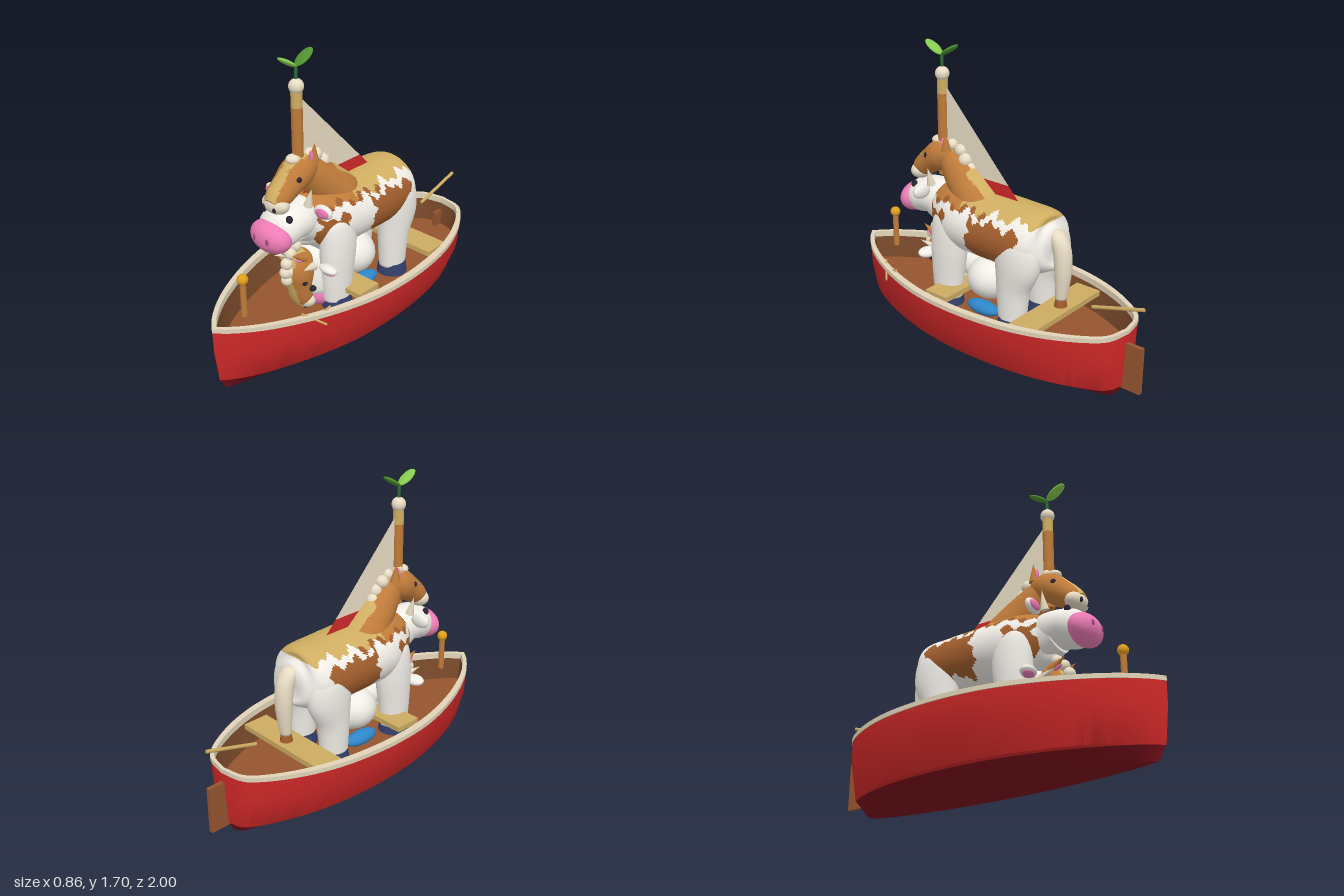
import * as THREE from 'three';
import { toCreasedNormals } from 'three/addons/utils/BufferGeometryUtils.js';

const C = { red: 0xd02828, darkRed: 0x7a101b, rail: 0xe0d3b8, wood: 0x95542f, darkWood: 0x7a4a2a, plank: 0xcbab62,
  brown: 0xbf7b3a, patch: 0xa05d2c, tan: 0xd0ae62, white: 0xf0ede6, cream: 0xe8dcc4, pink: 0xee7cb6,
  dark: 0x2a2433, navy: 0x34406b, blue: 0x2f86c9, gold: 0xe0a01c, green: 0x2f6b3a, leaf: 0x4f8f30, lightLeaf: 0x86cc50 };

function add(parent, name, geo, color, x = 0, y = 0, z = 0, double = false) {
  const mat = new THREE.MeshStandardMaterial({ color });
  if (double) mat.side = THREE.DoubleSide;
  const m = new THREE.Mesh(geo, mat);
  m.name = name;
  m.position.set(x, y, z);
  parent.add(m);
  return m;
}

function ball(parent, name, color, x, y, z, rx, ry = rx, rz = rx) {
  const m = add(parent, name, new THREE.SphereGeometry(1, 24, 16), color, x, y, z);
  m.scale.set(rx, ry, rz);
  return m;
}

// Skin over a stack of closed rings
function loft(rings, capStart, capEnd) {
  const n = rings[0].length, pos = [], idx = [];
  for (const r of rings) for (const p of r) pos.push(p.x, p.y, p.z);
  for (let i = 0; i < rings.length - 1; i++)
    for (let j = 0; j < n; j++) {
      const k = (j + 1) % n, a = i * n + j, b = i * n + k, c = b + n, d = a + n;
      idx.push(a, b, c, a, c, d);
    }
  const cap = (i, flip) => {
    const o = rings[i].reduce((s, p) => s.add(p), new THREE.Vector3()).divideScalar(n);
    const c = pos.length / 3;
    pos.push(o.x, o.y, o.z);
    for (let j = 0; j < n; j++) {
      const a = i * n + j, b = i * n + (j + 1) % n;
      flip ? idx.push(c, b, a) : idx.push(c, a, b);
    }
  };
  if (capStart) cap(0, true);
  if (capEnd) cap(rings.length - 1, false);
  const g = new THREE.BufferGeometry();
  g.setAttribute('position', new THREE.Float32BufferAttribute(pos, 3));
  g.setIndex(idx);
  g.computeVertexNormals();
  return g;
}

// Smooth limb along sections [z, y, half width, half depth]
function sweep(sections, steps = 8, sides = 32) {
  const last = sections.length - 1, list = [], S = i => sections[Math.min(last, Math.max(0, i))];
  for (let q = 0; q <= last * steps; q++) {
    const i = Math.min(last - 1, Math.floor(q / steps)), t = q / steps - i;
    list.push([0, 1, 2, 3].map(k => {
      const a = S(i - 1)[k], b = S(i)[k], c = S(i + 1)[k], d = S(i + 2)[k];
      return b + 0.5 * t * (c - a + t * (2 * a - 5 * b + 4 * c - d + t * (3 * (b - c) + d - a)));
    }));
  }
  const rings = list.map(([z, y, rx, ry], i) => {
    const p = list[Math.max(0, i - 1)], q = list[Math.min(list.length - 1, i + 1)];
    const len = Math.hypot(q[0] - p[0], q[1] - p[1]) || 1, tz = (q[0] - p[0]) / len, ty = (q[1] - p[1]) / len;
    return Array.from({ length: sides }, (_, j) => {
      const a = j / sides * Math.PI * 2, u = Math.cos(a) * Math.max(rx, 0.002), v = Math.sin(a) * Math.max(ry, 0.002);
      return new THREE.Vector3(u, y + v * tz, z - v * ty);
    });
  });
  return loft(rings, true, true);
}

// Split a skin into one mesh per coat colour chosen by rule(x, y, z)
function coat(parent, name, geo, rule) {
  const g = geo.toNonIndexed(), P = g.attributes.position.array, N = g.attributes.normal.array, parts = new Map();
  for (let f = 0; f < P.length; f += 9) {
    const mid = k => (P[f + k] + P[f + 3 + k] + P[f + 6 + k]) / 3;
    const c = rule(mid(0), mid(1), mid(2));
    if (!parts.has(c)) parts.set(c, { p: [], n: [] });
    for (let k = 0; k < 9; k++) { parts.get(c).p.push(P[f + k]); parts.get(c).n.push(N[f + k]); }
  }
  for (const [c, { p, n }] of parts) {
    const s = new THREE.BufferGeometry();
    s.setAttribute('position', new THREE.Float32BufferAttribute(p, 3));
    s.setAttribute('normal', new THREE.Float32BufferAttribute(n, 3));
    add(parent, name, s, c);
  }
}
const jag = t => 0.014 * Math.sin(t * 38) + 0.01 * Math.sin(t * 91 + 1);

function rod(parent, name, color, a, b, r) {
  const A = new THREE.Vector3(...a), B = new THREE.Vector3(...b);
  const m = add(parent, name, new THREE.CylinderGeometry(r, r, A.distanceTo(B), 16), color);
  m.position.copy(A).add(B).multiplyScalar(0.5);
  m.quaternion.setFromUnitVectors(new THREE.Vector3(0, 1, 0), B.sub(A).normalize());
}

function buildBoat(boat) {
  const half = [[0, 1], [.07, .94], [.175, .81], [.285, .61], [.365, .4], [.413, .2], [.43, -.02], [.422, -.2],
    [.387, -.42], [.318, -.62], [.215, -.8], [.135, -.88], [0, -.91]];
  const right = new THREE.CatmullRomCurve3(half.map(([x, z]) => new THREE.Vector3(x, 0, z))).getPoints(48);
  const plan = right.concat(right.slice(1, -1).reverse().map(p => new THREE.Vector3(-p.x, 0, p.z)));
  const ring = (y, sx, bow, stern) => plan.map(p =>
    new THREE.Vector3(p.x * sx, y, stern + (p.z + 0.91) / 1.91 * (bow - stern)));
  const L = { keel: ring(0, .3, .93, -.85), line: ring(.07, .69, .97, -.893), bilge: ring(.08, .73, .973, -.895),
    side: ring(.26, .955, .995, -.905), top: ring(.385, .985, .998, -.908) };
  const hard = rings => toCreasedNormals(loft(...rings), 0.5);
  add(boat, 'hullBottom', hard([[L.keel, L.line], true, false]), C.darkRed);
  add(boat, 'hullSides', hard([[L.line, L.bilge, L.side, L.top], false, false]), C.red);
  const inner = ring(.41, .905, .97, -.89), innerLow = ring(.375, .9, .968, -.888), floor = ring(.24, .82, .95, -.875);
  add(boat, 'rail', hard([[L.top, ring(.385, 1, 1, -.91), ring(.41, 1, 1, -.91), inner, innerLow], false, false]), C.rail);
  add(boat, 'innerWall', hard([[innerLow, floor], false, false]), C.darkWood);
  add(boat, 'floor', hard([[floor, floor.map(p => p.clone().multiplyScalar(0.98).setY(.24))], false, true]), C.wood);
  for (const z of [.155, -.44]) add(boat, 'bench', new THREE.BoxGeometry(.62, .03, .155), C.plank, 0, .36, z);
  add(boat, 'rudder', new THREE.BoxGeometry(.025, .27, .18), C.wood, 0, .195, -.91);
  rod(boat, 'tiller', C.plank, [0, .46, -.68], [0, .55, -.99], .01);
  rod(boat, 'bowPost', C.brown, [0, .38, .78], [0, .59, .78], .017);
  ball(boat, 'postKnob', C.gold, 0, .6, .78, .03);
  rod(boat, 'twig', C.plank, [.25, .42, .61], [.34, .35, .52], .006);
  rod(boat, 'twigBranch', C.plank, [.295, .385, .565], [.31, .42, .46], .006);
}

function buildMast(mast) {
  const z = .365;
  rod(mast, 'mast', C.brown, [0, .95, z], [0, 1.42, z], .03);
  rod(mast, 'mastTop', C.tan, [0, 1.42, z], [0, 1.51, z], .03);
  ball(mast, 'mastKnob', C.cream, 0, 1.53, z, .04);
  rod(mast, 'sproutStem', C.green, [0, 1.56, z], [0, 1.635, z], .009);
  for (const s of [1, -1])
    ball(mast, 'sproutLeaf', s > 0 ? C.lightLeaf : C.leaf, 0, 1.668, z + s * .057, .036, .013, .065).rotation.x = -s * .55;
  const sheet = (name, pts, color) => {
    const g = new THREE.ShapeGeometry(new THREE.Shape(pts.map(p => new THREE.Vector2(...p))));
    add(mast, name, g, color, 0, 0, 0, true).rotation.y = -Math.PI / 2;
  };
  sheet('sail', [[.335, 1.46], [-.108, .99], [.335, .99]], C.cream);
  sheet('sailHem', [[.335, .99], [-.108, .99], [-.175, .92], [.335, .92]], C.red);
}

function horseHead(g) {
  coat(g, 'horseHead', sweep([[.26, 1.1, .01, .01], [.29, 1.09, .065, .06], [.37, 1.065, .09, .088],
    [.45, 1.015, .08, .075], [.52, .965, .072, .06], [.56, .94, .05, .04]]),
    (x, y, z) => Math.abs(x) < .034 + jag(z) * .3 && y > 1.22 - z * .45 ? C.tan : C.brown);
  ball(g, 'horseMuzzle', C.cream, 0, .94, .53, .085, .053, .055);
  ball(g, 'forelock', C.cream, 0, 1.145, .4, .038, .025, .04);
  for (const s of [1, -1]) {
    ball(g, 'horseEye', C.dark, s * .07, 1.06, .43, .015, .02, .02);
    ball(g, 'horseNostril', C.dark, s * .036, .93, .577, .01, .015, .01);
    const ear = add(g, 'horseEar', new THREE.ConeGeometry(.03, .11, 16), C.brown, s * .052, 1.165, .3);
    ear.rotation.z = -s * .08;
    ball(g, 'innerEar', C.pink, s * .052, 1.15, .322, .013, .032, .008);
  }
}

function cowHead(g) {
  add(g, 'cowHead', sweep([[.3, .79, .06, .07], [.35, .8, .115, .11], [.45, .805, .128, .104], [.53, .785, .122, .1],
    [.58, .775, .08, .065]]), C.white);
  ball(g, 'cowMuzzle', C.pink, 0, .767, .572, .132, .088, .08);
  for (const s of [1, -1]) {
    ball(g, 'cowEye', C.dark, s * .085, .872, .52, .018, .022, .018);
    ball(g, 'cowNostril', 0xb04c82, s * .045, .775, .643, .013, .018, .008);
    ball(g, 'cowEar', C.white, s * .18, .89, .37, .062, .04, .025).rotation.z = s * .12;
    ball(g, 'innerCowEar', C.pink, s * .185, .89, .386, .045, .028, .014).rotation.z = s * .12;
    const horn = add(g, 'cowHorn', new THREE.ConeGeometry(.025, .11, 16), C.cream, s * .1, .955, .385);
    horn.rotation.z = -s * .25;
  }
}

function buildAnimal(a) {
  // Body with a tan saddle, brown fringe and side patches
  const inPatch = (y, z, z0, z1, y0, y1) => z > z0 + jag(y) && z < z1 + jag(y + 1) && y > y0 + jag(z) && y < y1 + jag(z + 2);
  coat(a, 'body', sweep([[-.44, .74, .01, .01], [-.43, .74, .1, .1], [-.4, .735, .165, .15], [-.34, .735, .205, .178],
    [-.2, .735, .222, .18], [0, .74, .225, .18], [.15, .745, .215, .19], [.25, .74, .185, .19], [.33, .72, .135, .16],
    [.375, .7, .06, .09], [.385, .7, .01, .01]], 12, 96), (x, y, z) =>
    y > .87 + jag(z) ? (z > .1 ? C.brown : C.tan)
      : inPatch(y, z, -.31, .01, .61, .83) || (Math.abs(x) > .09 && inPatch(y, z, .2, .35, .66, .81)) ||
        (y > .855 + jag(z + 1) && z > -.1) ? C.patch : C.white);
  coat(a, 'horseNeck', sweep([[0, .79, .13, .11], [.1, .86, .14, .12], [.2, .95, .11, .112], [.29, 1.035, .08, .085],
    [.35, 1.07, .06, .06]], 12, 48), (x, y, z) => y < .85 + jag(z) ? C.white : z < .14 && Math.abs(x) < .07 ? C.tan : C.brown);
  add(a, 'cowNeck', sweep([[.2, .74, .14, .14], [.3, .765, .128, .13], [.4, .795, .115, .112]]), C.white);
  horseHead(a);
  cowHead(a);
  // Mane
  [[.36, 1.155, .03], [.29, 1.14, .033], [.235, 1.115, .038], [.195, 1.07, .04], [.165, 1.025, .04], [.125, .985, .037],
    [.085, .95, .03]].forEach(([z, y, r], i) => ball(a, 'mane', C.cream, (i % 2 - .5) * .012, y, z, r * 1.05, r, r));
  // Legs and hooves
  for (const s of [1, -1]) {
    for (const [z, leg] of [
      [.22, [[.2, .83, .03, .05], [.2, .75, .072, .11], [.21, .6, .085, .115], [.22, .42, .078, .1], [.22, .29, .072, .088]]],
      [-.25, [[-.26, .84, .03, .05], [-.27, .76, .08, .125], [-.28, .64, .092, .14], [-.255, .48, .082, .1],
        [-.25, .29, .072, .082]]]]) {
      add(a, 'leg', sweep(leg), C.white, s * .132);
      add(a, 'hoof', new THREE.CylinderGeometry(.078, .088, .07, 24), C.navy, s * .132, .275, z);
    }
  }
  // Tail
  add(a, 'tail', sweep([[-.4, .78, .03, .02], [-.44, .79, .048, .04], [-.475, .72, .052, .048], [-.485, .6, .05, .045],
    [-.477, .44, .034, .03]]), C.cream);
  add(a, 'tailTip', new THREE.CylinderGeometry(.027, .036, .05, 20), C.patch, 0, .42, -.475);
}

// Second, crouching animal under the first, both heads bowed to the floor
function buildCrouching(a) {
  const bowed = (name, build, pivotY, pivotZ, y, z, turn) => {
    const outer = new THREE.Group(), inner = new THREE.Group();
    outer.name = name;
    inner.name = name + 'Parts';
    build(inner);
    inner.position.set(0, -pivotY, -pivotZ);
    outer.position.set(0, y, z);
    outer.rotation.x = turn;
    outer.add(inner);
    a.add(outer);
  };
  bowed('lowHorseHead', horseHead, 1.07, .4, .465, .4, 1.05);
  bowed('lowCowHead', cowHead, .84, .45, .44, .31, 1.3);
  ball(a, 'lowBody', C.white, 0, .43, -.01, .17, .13, .145);
  add(a, 'lowNeck', sweep([[0, .45, .1, .09], [.15, .47, .09, .08], [.3, .49, .08, .07], [.38, .48, .06, .06]]), C.white);
  [[.4, .635], [.44, .6], [.47, .55], [.48, .5], [.47, .45]].forEach(([z, y]) => ball(a, 'lowMane', C.cream, 0, y, z, .033));
  for (const s of [1, -1]) ball(a, 'foldedLeg', C.blue, s * .11, .27, -.02, .05, .04, .11);
}

export function createModel() {
  const model = new THREE.Group();
  for (const [name, build] of [['boat', buildBoat], ['mastAndSail', buildMast], ['twoHeadedAnimal', buildAnimal],
    ['crouchingAnimal', buildCrouching]]) {
    const g = new THREE.Group();
    g.name = name;
    build(g);
    model.add(g);
  }
  return model;
}
